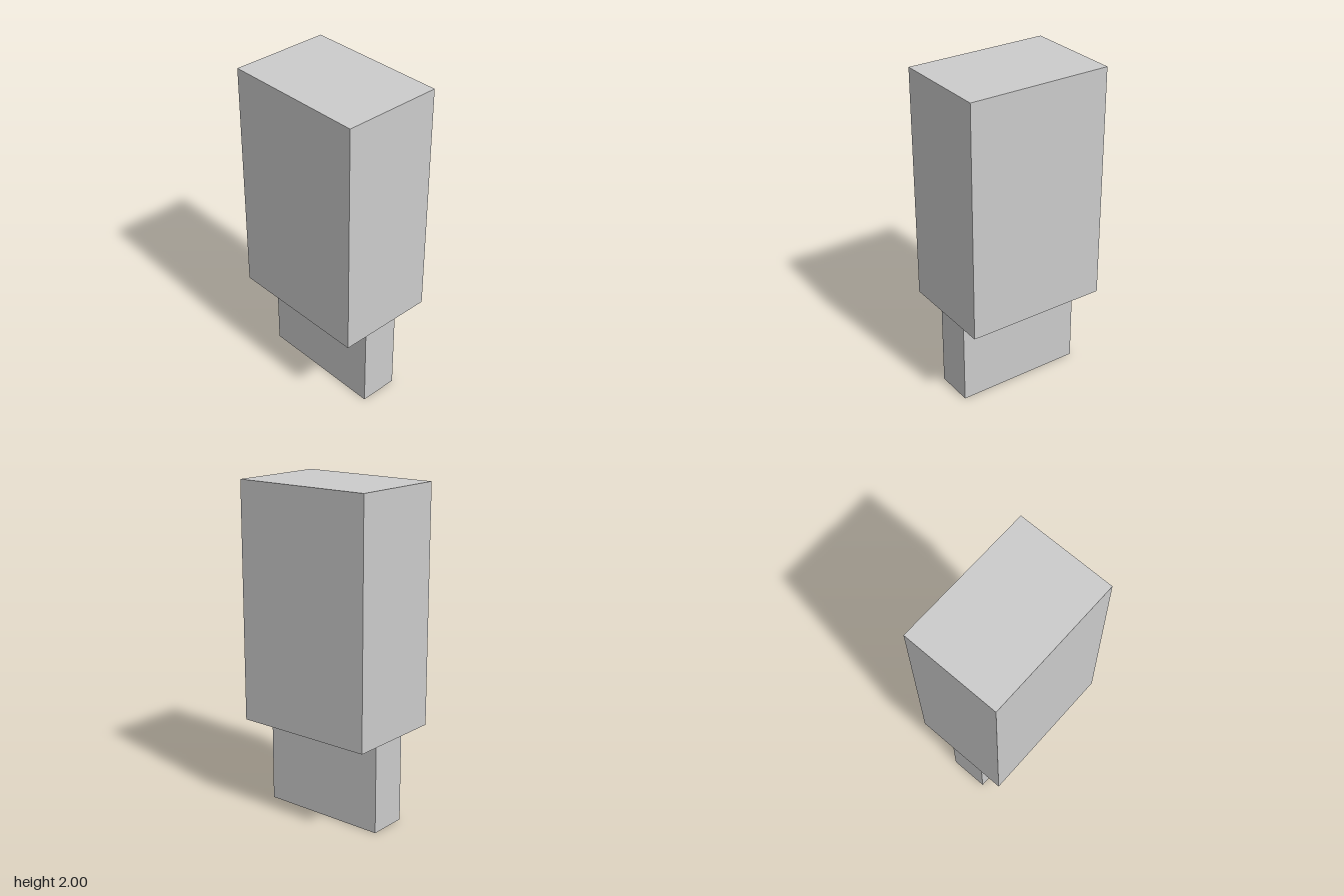
import * as THREE from 'three';

const material = new THREE.MeshStandardMaterial({ color: 0xcccccc, flatShading: true });

// Box standing on height y0 and reaching up to y1
function block(name, width, y0, y1, depth) {
  const mesh = new THREE.Mesh(new THREE.BoxGeometry(width, y1 - y0, depth), material);
  mesh.position.y = (y0 + y1) / 2;
  mesh.name = name;
  return mesh;
}

export function createModel() {
  const group = new THREE.Group();
  group.name = 'steppedBlock';
  // Wide upper body on a narrow lower stem
  group.add(block('body', 0.61, 0.56, 2, 0.886));
  group.add(block('stem', 0.24, 0, 0.56, 0.8));
  return group;
}
